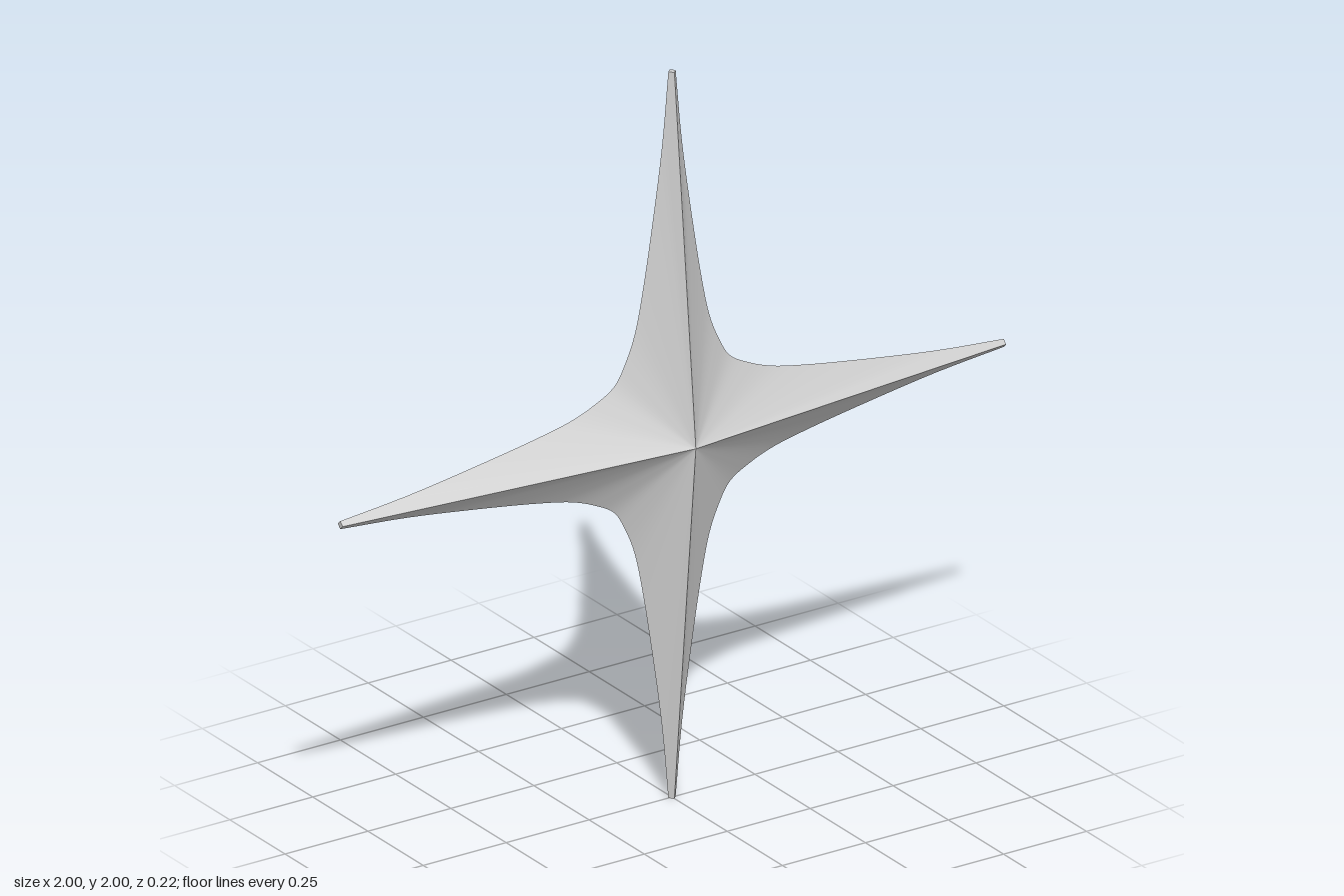
import * as THREE from 'three';

const DEPTH = 0.108; // half thickness at the centre
const TIP = 0.011;   // half width of the blunt tips

// Edge of one quadrant, from the +x tip round the inner corner to the +y tip
function quadrantEdge() {
  const half = [[1, TIP], [0.8, 0.03], [0.6, 0.058], [0.4, 0.091], [0.3, 0.113], [0.235, 0.138]];
  const points = [...half, [0.174, 0.174], ...half.map(([x, y]) => [y, x]).reverse()];
  const curve = new THREE.CatmullRomCurve3(points.map(([x, y]) => new THREE.Vector3(x, y, 0)));
  // the ridge ends close the facet beside each ridge
  return [new THREE.Vector3(1, 0, TIP), ...curve.getPoints(60), new THREE.Vector3(0, 1, TIP)];
}

// Fan of straight lines from the raised centre to the edge
function quadrantGeometry() {
  const edge = quadrantEdge();
  const n = edge.length;
  const geometry = new THREE.PlaneGeometry(1, 1, n - 1, 1);
  const position = geometry.attributes.position;
  edge.forEach((p, i) => {
    position.setXYZ(i, 0, 0, DEPTH);
    position.setXYZ(n + i, p.x, p.y, p.z);
  });
  geometry.computeVertexNormals();
  return geometry;
}

export function createModel() {
  const material = new THREE.MeshStandardMaterial({ color: 0xcccccc });
  const star = new THREE.Group();
  star.name = 'fourPointStar';
  star.position.y = 1;

  // Front and back faces, four quadrants each
  const quadrant = quadrantGeometry();
  for (const side of ['front', 'back']) {
    const face = new THREE.Group();
    face.name = side + 'Face';
    if (side === 'back') face.rotation.y = Math.PI;
    for (let i = 0; i < 4; i++) {
      const mesh = new THREE.Mesh(quadrant, material);
      mesh.name = side + 'Quadrant';
      mesh.rotation.z = i * Math.PI / 2;
      face.add(mesh);
    }
    star.add(face);
  }

  // Small diamond caps closing the four tips
  const cap = new THREE.CircleGeometry(TIP, 4).rotateY(Math.PI / 2).translate(1, 0, 0);
  for (let i = 0; i < 4; i++) {
    const mesh = new THREE.Mesh(cap, material);
    mesh.name = 'tipCap';
    mesh.rotation.z = i * Math.PI / 2;
    star.add(mesh);
  }

  const model = new THREE.Group();
  model.name = 'star';
  model.add(star);
  return model;
}
